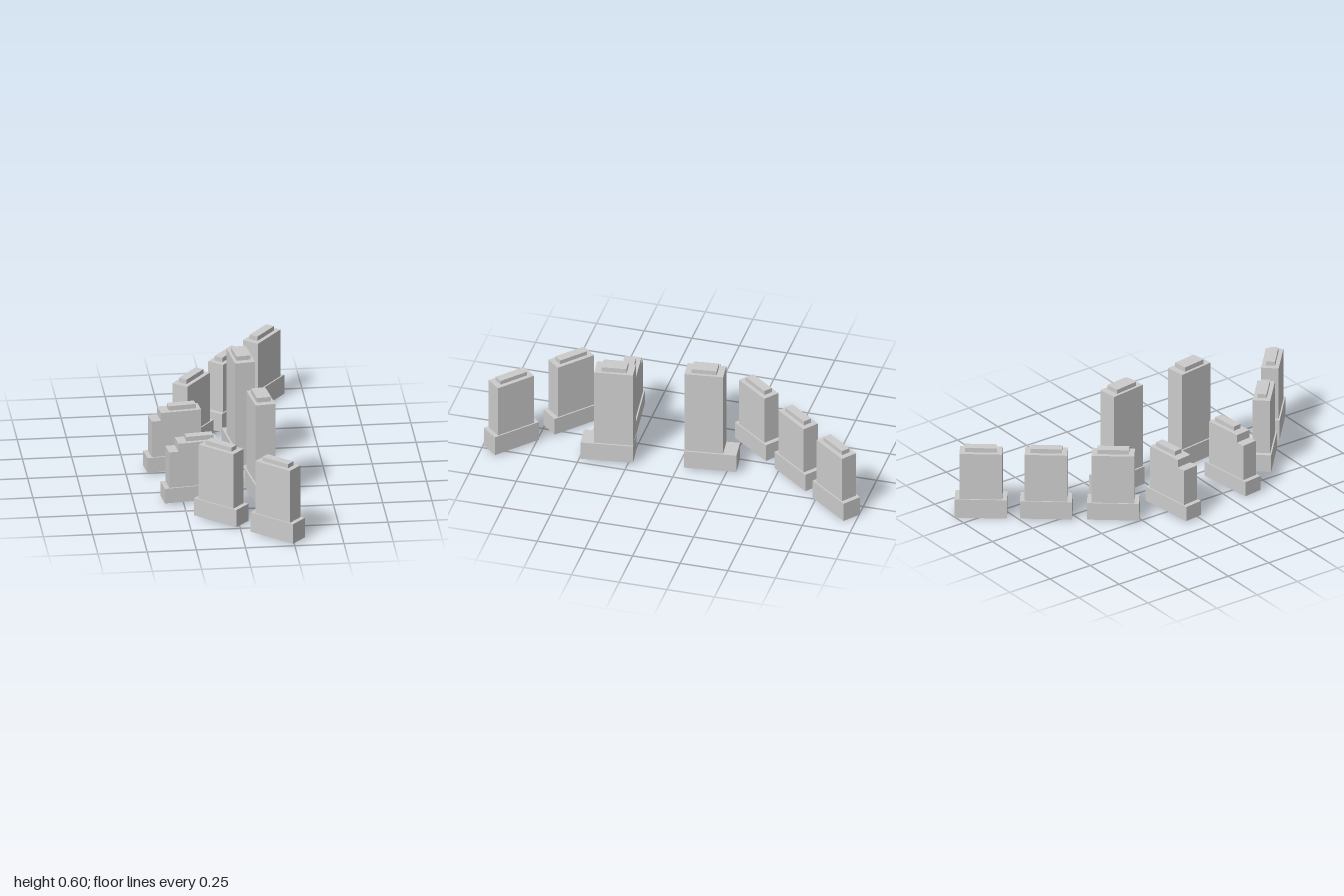
import * as THREE from 'three';

const material = new THREE.MeshStandardMaterial({ color: 0xcccccc, flatShading: true });

// Adds a block spanning u0..u1 along the building and y0..y1 upwards.
function block(parent, name, u0, u1, width, y0, y1) {
  const mesh = new THREE.Mesh(new THREE.BoxGeometry(u1 - u0, y1 - y0, width), material);
  mesh.name = name;
  mesh.position.set((u0 + u1) / 2, (y0 + y1) / 2, 0);
  parent.add(mesh);
}

function building(name, x, z, degrees) {
  const g = new THREE.Group();
  g.name = name;
  g.position.set(x, 0, z);
  g.rotation.y = THREE.MathUtils.degToRad(degrees);
  return g;
}

// Slab block: podium, body and roof cap, all centred.
function slab([x, z, degrees, bottom, podiumTop, bodyTop, capTop]) {
  const g = building('slabBlock', x, z, degrees);
  block(g, 'podium', -0.132, 0.132, 0.104, bottom, podiumTop);
  block(g, 'body', -0.108, 0.108, 0.089, podiumTop, bodyTop);
  block(g, 'roofCap', -0.08, 0.08, 0.046, bodyTop, capTop);
  return g;
}

// Tower: tall body pushed towards one end of its podium.
function tower([x, z, degrees, offset, bodyTop, capTop]) {
  const g = building('tower', x, z, degrees);
  block(g, 'podium', -0.134, 0.134, 0.121, 0.012, 0.11);
  block(g, 'body', offset - 0.099, offset + 0.099, 0.103, 0.11, bodyTop);
  block(g, 'roofCap', offset - 0.064, offset + 0.064, 0.073, bodyTop, capTop);
  return g;
}

// Terraced block: the body steps down at its left end.
function terrace([x, z, degrees]) {
  const g = building('terracedBlock', x, z, degrees);
  block(g, 'podium', -0.152, 0.152, 0.102, 0.01, 0.09);
  block(g, 'body', -0.128, 0.128, 0.087, 0.09, 0.285);
  block(g, 'upperBody', -0.08, 0.128, 0.087, 0.285, 0.328);
  block(g, 'roofCap', -0.035, 0.105, 0.045, 0.328, 0.352);
  return g;
}

export function createModel() {
  const model = new THREE.Group();
  model.name = 'buildingCluster';

  // x, z, turn, podium bottom, podium top, body top, cap top
  const slabs = [
    [0.282, -0.868, 52, 0, 0.104, 0.36, 0.384],
    [0.077, -0.61, 52, 0.004, 0.102, 0.363, 0.387],
    [-0.133, -0.344, 52, 0.006, 0.1, 0.366, 0.39],
    [-0.084, 0.626, -42, 0.008, 0.102, 0.4, 0.422],
    [0.178, 0.866, -42, 0.008, 0.115, 0.4, 0.422],
  ];
  for (const s of slabs) model.add(slab(s));

  // x, z, turn, body offset, body top, cap top
  model.add(tower([0.092, -0.162, -83.2, 0.034, 0.572, 0.595]));
  model.add(tower([0.154, 0.364, -82.5, -0.034, 0.535, 0.56]));

  model.add(terrace([-0.248, -0.053, 7]));
  model.add(terrace([-0.202, 0.347, 7]));
  return model;
}
